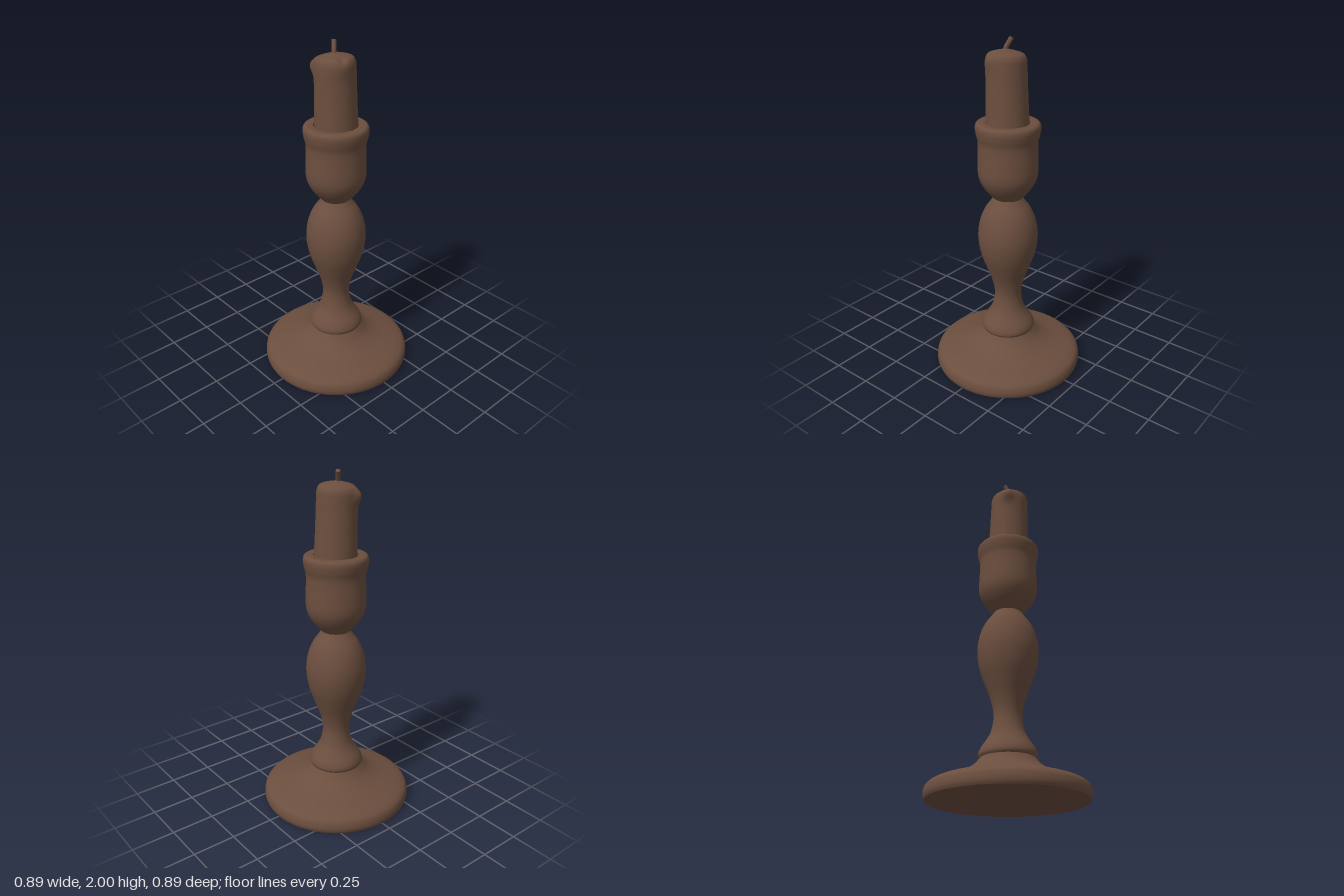
import * as THREE from 'three';

const brown = new THREE.MeshStandardMaterial({ color: 0x6b4e3e });
brown.name = 'warm brown';

const v2 = (pts) => pts.map(([r, y]) => new THREE.Vector2(r, y));

// Lathe a smooth curve through a few [radius, y] points, listed bottom to top
function turned(name, pts, steps = 40) {
  const profile = new THREE.SplineCurve(v2(pts)).getPoints(steps);
  profile.forEach((p) => { p.x = Math.max(p.x, 0); });
  const mesh = new THREE.Mesh(new THREE.LatheGeometry(profile, 72), brown);
  mesh.name = name;
  return mesh;
}

// Melted candle: a turned form that leans forward, with wax drips at the rim
function makeCandle() {
  const mesh = turned('candle', [
    [0.122, 1.47], [0.121, 1.54], [0.117, 1.66], [0.114, 1.78], [0.113, 1.85], [0.109, 1.888],
    [0.094, 1.912], [0.06, 1.924], [0.025, 1.932], [0, 1.936],
  ], 64);
  const geo = mesh.geometry;
  const pos = geo.attributes.position;
  const bump = (d, width) => Math.exp(-(d * d) / (width * width));
  // direction (x, z), height, angular width, height width, push outwards
  const drips = [
    { x: -0.11, z: 0.075, y: 1.86, w: 0.28, h: 0.045, push: 0.026 },
    { x: 0.11, z: 0.04, y: 1.88, w: 0.5, h: 0.05, push: 0.008 },
  ];
  for (let i = 0; i < pos.count; i++) {
    const x = pos.getX(i), y = pos.getY(i), z = pos.getZ(i);
    const r = Math.hypot(x, z);
    let scale = 1;
    for (const d of drips) {
      let turn = Math.atan2(z, x) - Math.atan2(d.z, d.x);
      turn = Math.atan2(Math.sin(turn), Math.cos(turn));
      scale += (d.push / 0.12) * bump(turn, d.w) * bump(y - d.y, d.h) * Math.min(1, r / 0.09);
    }
    const lean = THREE.MathUtils.clamp((y - 1.5) / 0.35, 0, 1);
    const top = THREE.MathUtils.smoothstep(y, 1.84, 1.92);
    const dent = 0.012 * bump(Math.hypot(x - 0.085, z - 0.03), 0.02);
    pos.setXYZ(i, x * scale + 0.003, y + top * (0.06 * x - dent), z * scale + 0.009 * lean);
  }
  // Recompute normals, then join them across the lathe seam
  geo.computeVertexNormals();
  const n = geo.attributes.normal;
  const rows = 65, last = 72 * rows;
  for (let j = 0; j < rows; j++) {
    const a = new THREE.Vector3().fromBufferAttribute(n, j);
    a.add(new THREE.Vector3().fromBufferAttribute(n, last + j)).normalize();
    n.setXYZ(j, a.x, a.y, a.z);
    n.setXYZ(last + j, a.x, a.y, a.z);
  }
  return mesh;
}

// Short bent wick, slightly thicker at the tip, closed by a cap
function makeWick() {
  const group = new THREE.Group();
  group.name = 'wick';
  const path = new THREE.CatmullRomCurve3([
    new THREE.Vector3(0.006, 1.915, 0.018),
    new THREE.Vector3(-0.002, 1.945, 0.013),
    new THREE.Vector3(-0.012, 1.968, 0.004),
    new THREE.Vector3(-0.024, 1.993, -0.006),
  ]);
  const stem = new THREE.Mesh(new THREE.TubeGeometry(path, 14, 0.013, 10), brown);
  stem.name = 'wickStem';
  const tip = new THREE.Mesh(new THREE.CircleGeometry(0.013, 10), brown);
  tip.name = 'wickTip';
  tip.position.copy(path.getPoint(1));
  tip.quaternion.setFromUnitVectors(new THREE.Vector3(0, 0, 1), path.getTangent(1));
  group.add(stem, tip);
  return group;
}

export function createModel() {
  const model = new THREE.Group();
  model.name = 'candlestick';

  // Flat underside and domed foot
  const underside = new THREE.Mesh(new THREE.CircleGeometry(0.437, 72), brown);
  underside.name = 'underside';
  underside.rotation.x = Math.PI / 2;
  underside.position.y = 0.002;
  const foot = turned('foot', [
    [0.437, 0.002], [0.444, 0.02], [0.444, 0.045], [0.433, 0.075], [0.4, 0.098], [0.335, 0.12],
    [0.26, 0.145], [0.2, 0.178], [0.165, 0.212], [0.148, 0.236],
  ]);

  // Baluster stem with a flared collar
  const collarBase = turned('collarBase', [[0.13, 0.228], [0.153, 0.228]], 2);
  const stem = turned('stem', [
    [0.153, 0.228], [0.16, 0.242], [0.158, 0.262], [0.145, 0.29], [0.118, 0.33], [0.095, 0.375],
    [0.081, 0.44], [0.083, 0.5], [0.1, 0.57], [0.13, 0.65], [0.158, 0.73], [0.173, 0.81],
    [0.174, 0.88], [0.16, 0.955], [0.132, 1.02], [0.1, 1.065], [0.08, 1.096],
  ], 72);

  // Cup, rolled lip and the socket that holds the candle
  const cup = turned('cup', [
    [0.08, 1.088], [0.103, 1.112], [0.135, 1.15], [0.16, 1.195], [0.171, 1.24], [0.172, 1.3],
    [0.169, 1.38], [0.17, 1.43], [0.179, 1.468], [0.184, 1.5], [0.182, 1.522], [0.172, 1.535],
    [0.155, 1.538], [0.126, 1.536],
  ], 72);
  const socket = turned('socket', [[0.126, 1.536], [0.126, 1.5]], 2);
  const socketFloor = new THREE.Mesh(new THREE.CircleGeometry(0.126, 48), brown);
  socketFloor.name = 'socketFloor';
  socketFloor.rotation.x = -Math.PI / 2;
  socketFloor.position.y = 1.5;

  model.add(underside, foot, collarBase, stem, cup, socket, socketFloor, makeCandle(), makeWick());
  return model;
}
